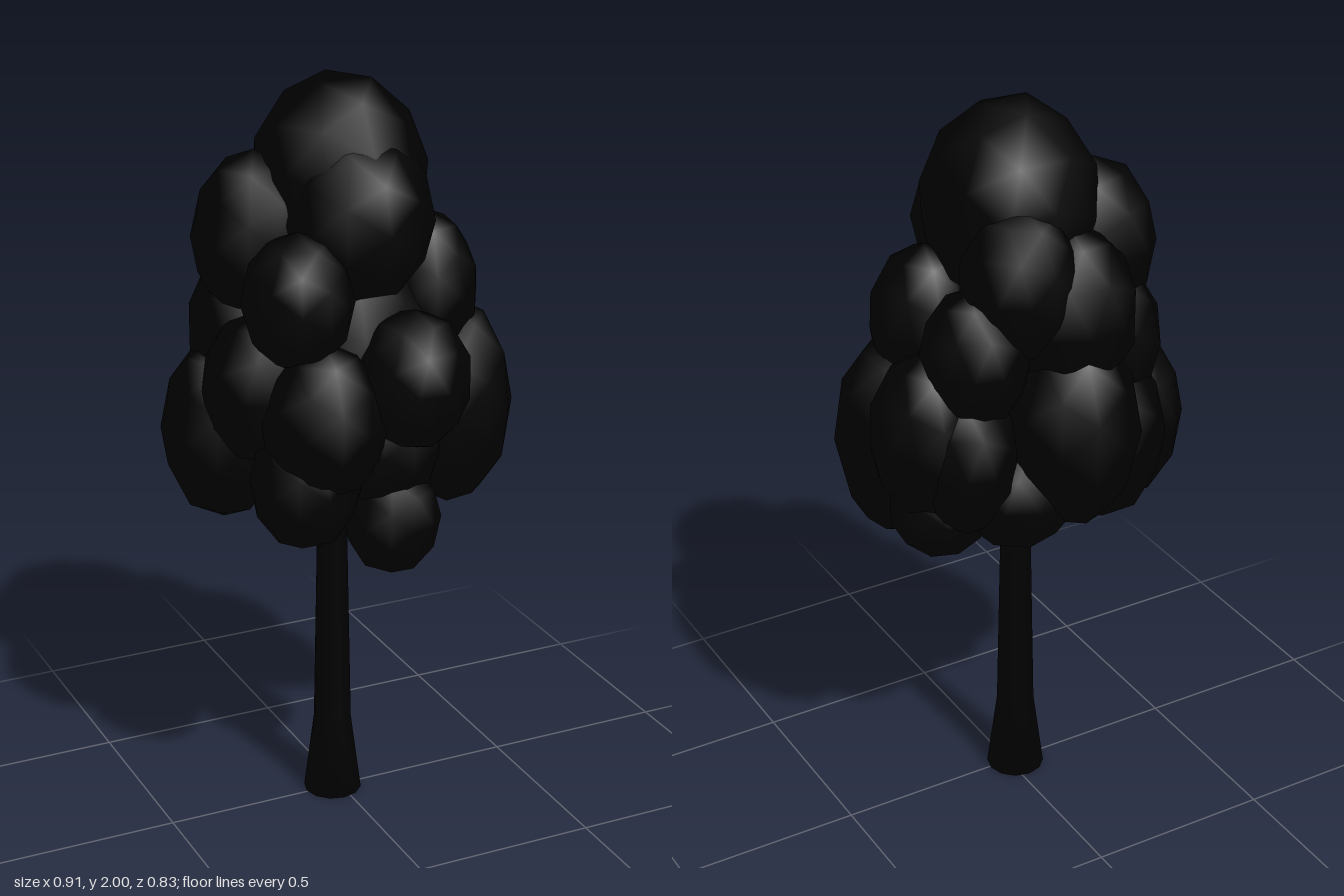
import * as THREE from 'three';

export function createModel() {
  const tree = new THREE.Group();
  tree.name = 'tree';
  const dark = new THREE.MeshStandardMaterial({ color: 0x000000 });

  // Trunk: flared foot, then a slow taper up into the crown
  const profile = [[0, 0], [0.079, 0], [0.051, 0.22], [0.04, 0.8], [0.03, 1.2], [0, 1.2]]
    .map(([r, y]) => new THREE.Vector2(r, y));
  const trunk = new THREE.Mesh(new THREE.LatheGeometry(profile, 12), dark);
  trunk.name = 'trunk';
  trunk.position.set(-0.02, 0, -0.005);
  tree.add(trunk);

  const crown = new THREE.Group();
  crown.name = 'crown';
  tree.add(crown);

  // One low-poly leaf clump: an upright ellipsoid of width radius r and height radius h
  const addClump = (name, [x, y, z, r, h], yaw, tilt = 0) => {
    const geometry = new THREE.IcosahedronGeometry(1, 1);
    geometry.rotateX(tilt).rotateY(yaw).scale(r, h, r);
    const mesh = new THREE.Mesh(geometry, dark);
    mesh.name = name;
    mesh.position.set(x, y, z);
    crown.add(mesh);
  };

  // Overlapping clumps, [x, y, z, r, h], each turned a little further than the last
  const clumps = [
    [0.01, 1.66, 0.08, 0.2, 0.23],      // upper front
    [0.08, 1.6, -0.19, 0.155, 0.21],    // upper back
    [-0.06, 1.49, -0.19, 0.18, 0.24],
    [-0.21, 1.6, -0.06, 0.165, 0.23],   // upper sides
    [-0.19, 1.49, 0.16, 0.145, 0.18],
    [0.22, 1.44, 0.04, 0.145, 0.21],
    [0.2, 1.42, -0.18, 0.14, 0.19],
    [0.08, 1.28, 0.27, 0.15, 0.185],    // front
    [-0.14, 1.18, 0.21, 0.165, 0.21],
    [-0.18, 1.01, 0.18, 0.145, 0.18],
    [0.05, 1.08, 0.12, 0.175, 0.2],
    [-0.24, 1.24, 0.05, 0.16, 0.21],    // sides
    [-0.3, 1.09, -0.08, 0.162, 0.25],
    [0.29, 1.12, 0.06, 0.17, 0.29],
    [0.305, 1.21, -0.12, 0.15, 0.23],
    [0.23, 1.15, -0.19, 0.135, 0.21],
    [0.26, 0.98, -0.1, 0.135, 0.14],
    [-0.04, 1.19, -0.24, 0.185, 0.28],  // back
    [-0.19, 1.1, -0.16, 0.165, 0.25],
    [-0.2, 1.35, -0.1, 0.175, 0.22],
    [0.08, 1.03, -0.18, 0.17, 0.17],
    [0.07, 0.87, 0.17, 0.13, 0.16],     // low front clump
    [-0.06, 1, 0, 0.16, 0.18],          // underside
    [0, 1.28, 0, 0.26, 0.34],           // core
  ];
  clumps.forEach((clump, i) => addClump(`leafClump${i + 1}`, clump, i * 0.7));

  // Top clump, tilted so that one facet lies level
  addClump('topClump', [0.01, 1.74, -0.025, 0.23, 0.278], 0, -0.365);

  return tree;
}
